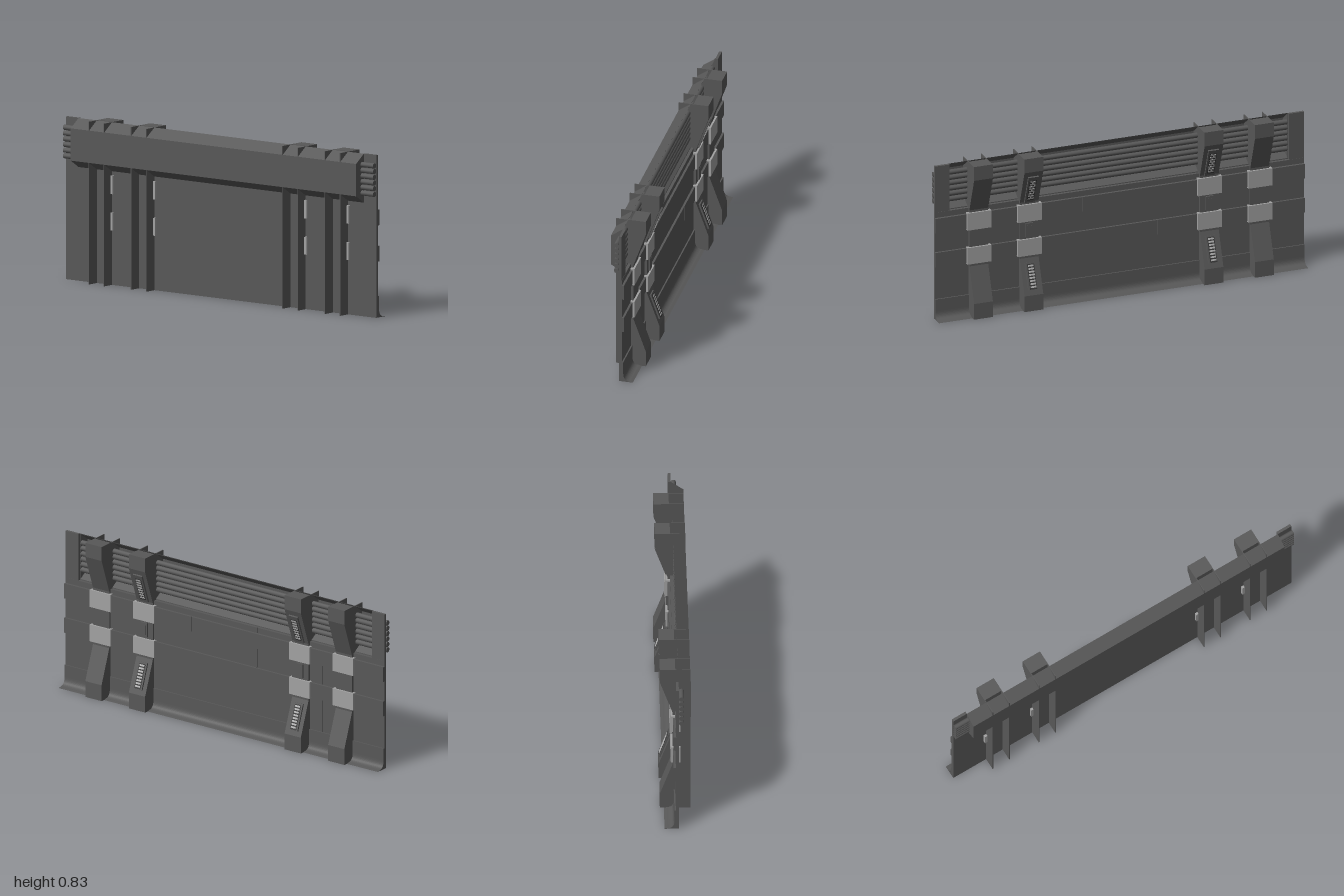
import * as THREE from 'three';

const mat = (name, color, side = THREE.FrontSide) => {
  const m = new THREE.MeshStandardMaterial({ color, side });
  m.name = name;
  return m;
};

export function createModel() {
  const root = new THREE.Group();
  root.name = 'wallPanel';
  const steel = mat('dark steel', 0x585858);
  const clampGrey = mat('light clamp grey', 0xa2a2a2);
  const recess = mat('vent recess', 0x383838);
  const slat = mat('vent slat', 0xb4b4b4);

  const add = (parent, name, geo, material) => {
    const m = new THREE.Mesh(geo, material);
    m.name = name;
    parent.add(m);
    return m;
  };
  // Box given by its limits on each axis
  const box = (parent, name, x0, x1, y0, y1, z0, z1, material = steel) => {
    const m = add(parent, name, new THREE.BoxGeometry(x1 - x0, y1 - y0, z1 - z0), material);
    m.position.set((x0 + x1) / 2, (y0 + y1) / 2, (z0 + z1) / 2);
    return m;
  };
  // Profile in x,y extruded from z0 to z1
  const prism = (parent, name, shape, z0, z1) => {
    const geo = new THREE.ExtrudeGeometry(shape, { depth: z1 - z0, bevelEnabled: false, curveSegments: 10 });
    const m = add(parent, name, geo, steel);
    m.position.z = z0;
    return m;
  };
  const poly = (pts) => new THREE.Shape(pts.map(([x, y]) => new THREE.Vector2(x, y)));

  // Backing sheet with end posts either side of the pipe opening
  box(root, 'backingSheet', -0.017, -0.005, 0, 0.58, -1, 1);
  for (const s of [-1, 1]) {
    box(root, 'endPost', -0.017, -0.003, 0.58, 0.83, s > 0 ? 0.92 : -1, s > 0 ? 1 : -0.92);
  }

  // Rows of cladding plates with narrow seams
  const row = (name, y0, y1, x1, seams) => {
    const stops = [-1, ...seams, 1];
    for (let i = 0; i + 1 < stops.length; i++) {
      const a = stops[i] + (i ? 0.001 : 0);
      const b = stops[i + 1] - (i + 2 < stops.length ? 0.001 : 0);
      box(root, name, -0.006, x1, y0, y1, a, b);
    }
  };
  row('lowerPlate', 0.11, 0.285, -0.002, [-0.61, 0.203, 0.61]);
  row('middlePlate', 0.365, 0.47, -0.002, [-0.61, -0.203, 0.203, 0.61]);
  row('upperPlate', 0.551, 0.58, -0.002, [-0.203]);
  row('lowerBand', 0.285, 0.365, 0.009, [-0.203]);
  row('upperBand', 0.47, 0.55, 0.009, [0.203]);

  // Curved kick plate along the floor
  const kick = new THREE.Shape();
  kick.moveTo(-0.005, 0);
  kick.lineTo(0.055, 0);
  kick.lineTo(0.04, 0.003);
  kick.quadraticCurveTo(0.005, 0.005, 0.005, 0.045);
  kick.lineTo(0.005, 0.11);
  kick.lineTo(-0.005, 0.11);
  prism(root, 'kickPlate', kick, -1, 1);

  // Pipe housing on the back: open to the front, chamfered top and bottom
  const housing = poly([
    [-0.017, 0.58], [-0.08, 0.62], [-0.08, 0.785], [-0.017, 0.83],
    [-0.019, 0.825], [-0.076, 0.783], [-0.076, 0.623], [-0.017, 0.585],
  ]);
  prism(root, 'pipeHousing', housing, -0.92, 0.92);
  const cap = poly([[-0.017, 0.58], [-0.017, 0.83], [-0.08, 0.785], [-0.08, 0.62]]);
  for (const z of [-0.92, 0.916]) prism(root, 'housingEnd', cap, z, z + 0.004);

  // Stack of horizontal pipes
  for (let i = 0; i < 6; i++) {
    const geo = new THREE.CylinderGeometry(0.0135, 0.0135, 2, 10).rotateX(Math.PI / 2);
    add(root, 'pipe', geo, steel).position.set(-0.031, 0.632 + i * 0.029, 0);
  }

  // Sloped vent: frame, recess and slats; local +x faces outward
  const vent = (parent, x, y, z, angle, length) => {
    const g = new THREE.Group();
    g.name = 'vent';
    g.position.set(x, y, z);
    g.rotation.z = angle;
    parent.add(g);
    box(g, 'ventFrame', -0.012, 0.008, -length / 2, length / 2, -0.028, 0.028);
    box(g, 'ventRecess', 0.007, 0.009, -0.068, 0.062, -0.019, 0.019, recess);
    for (let i = 0; i < 8; i++) {
      const yy = -0.06 + i * 0.0155;
      box(g, 'ventSlat', 0.008, 0.0105, yy, yy + 0.009, -0.015, 0.015, slat);
    }
  };

  // Pillars: flared front, two thin fins behind, clamps and optional vents
  const front = [
    [0.075, 0], [0.075, 0.085], [0.01, 0.265], [0.01, 0.57], [0.075, 0.755], [0.075, 0.83],
  ];
  const frontShape = poly([[-0.003, 0], ...front, [-0.003, 0.83]]);
  const finShape = poly([[-0.08, 0], [0, 0], [0, 0.83], [-0.08, 0.83]]);
  for (const [z, vented] of [[0.767, false], [0.494, true], [-0.482, true], [-0.755, false]]) {
    const pillar = new THREE.Group();
    pillar.name = 'pillar';
    pillar.position.z = z;
    root.add(pillar);
    prism(pillar, 'pillarFront', frontShape, -0.051, 0.051);
    for (const s of [-1, 1]) prism(pillar, 'pillarFin', finShape, s * 0.049 - 0.002, s * 0.049 + 0.002);

    for (const [y0, y1] of [[0.28, 0.37], [0.465, 0.558]]) {
      box(pillar, 'clampFace', 0.004, 0.02, y0, y1, -0.065, 0.065, clampGrey);
      for (const s of [-1, 1]) {
        box(pillar, 'clampArm', -0.03, 0.006, y0, y1, s * 0.058 - 0.007, s * 0.058 + 0.007, clampGrey);
      }
    }
    if (vented) {
      vent(pillar, 0.039, 0.65, 0, -0.338, 0.165);
      vent(pillar, 0.042, 0.177, 0, 0.347, 0.14);
      box(pillar, 'hatch', 0.005, 0.018, 0.38, 0.455, -0.02, 0.02);
      box(pillar, 'hatchInset', 0.0175, 0.019, 0.392, 0.443, -0.013, 0.013);
    }
  }
  return root;
}
